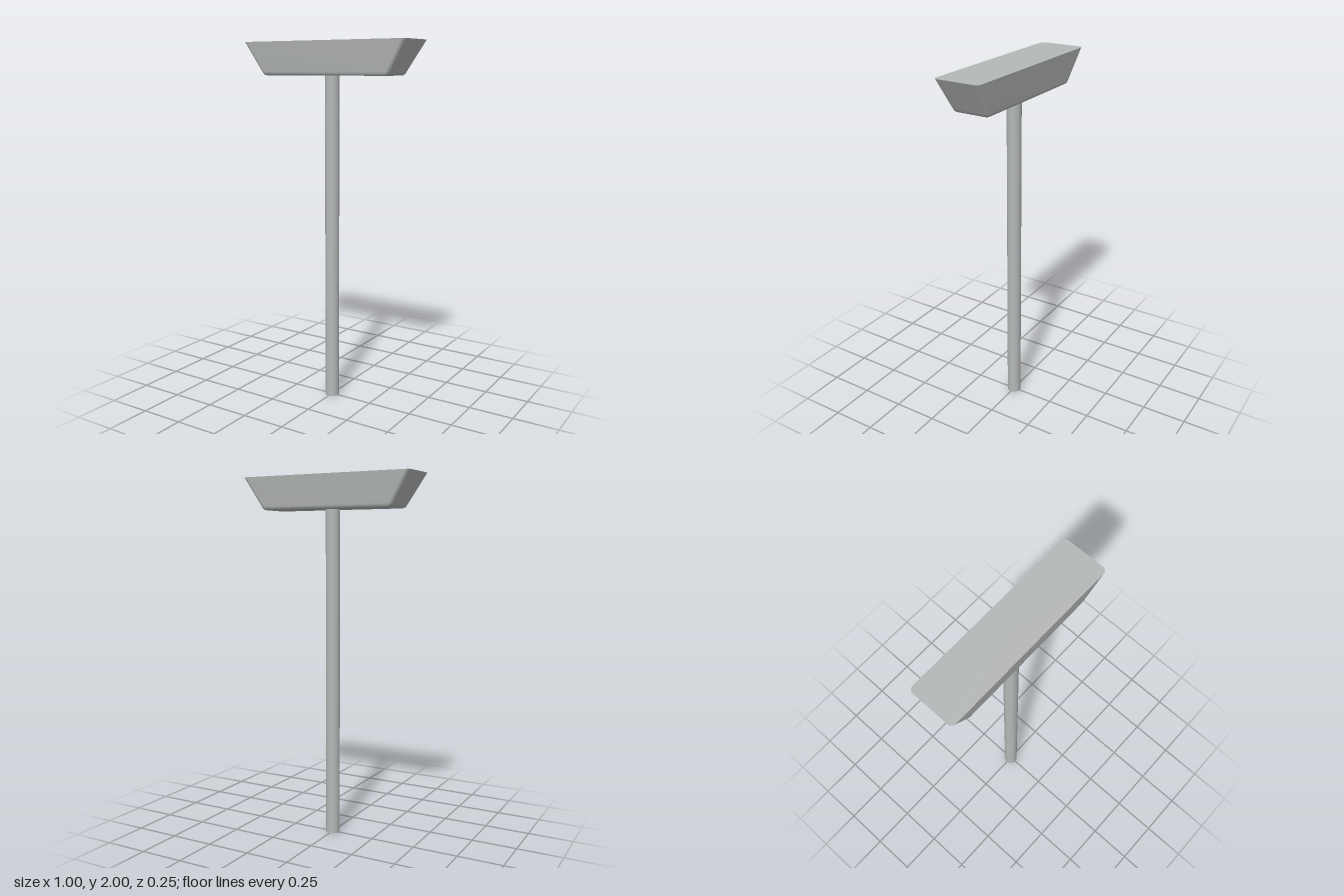
import * as THREE from 'three';

const CORNER_STEPS = 5;

// Rounded rectangle in the xz plane at height y, as a flat list of coordinates
function ring([y, hx, hz, r]) {
  const points = [];
  [[1, 1], [-1, 1], [-1, -1], [1, -1]].forEach(([sx, sz], corner) => {
    for (let i = 0; i <= CORNER_STEPS; i++) {
      const a = (corner + i / CORNER_STEPS) * Math.PI / 2;
      points.push(sx * (hx - r) + Math.cos(a) * r, y, sz * (hz - r) + Math.sin(a) * r);
    }
  });
  return points;
}

// Smooth shell through the rings (top to bottom), with a crisp lid on top
function loftHead(profile) {
  const rings = profile.map(ring);
  const n = rings[0].length / 3;
  const position = rings.flat();
  const index = [];
  for (let k = 0; k < rings.length - 1; k++) {
    for (let i = 0; i < n; i++) {
      const j = (i + 1) % n, a = k * n + i, b = k * n + j;
      index.push(a, b, a + n, b, b + n, a + n);
    }
  }
  const addCap = (start, y, up) => {
    const centre = position.length / 3;
    position.push(0, y, 0);
    for (let i = 0; i < n; i++) {
      const a = start + i, b = start + (i + 1) % n;
      index.push(centre, up ? b : a, up ? a : b);
    }
  };
  addCap((rings.length - 1) * n, profile.at(-1)[0], false);
  const lid = position.length / 3;
  position.push(...rings[0]);
  addCap(lid, profile[0][0], true);

  const geometry = new THREE.BufferGeometry();
  geometry.setAttribute('position', new THREE.Float32BufferAttribute(position, 3));
  geometry.setIndex(index);
  geometry.computeVertexNormals();
  return geometry;
}

export function createModel() {
  const model = new THREE.Group();
  model.name = 'hammerShapedPost';
  const grey = new THREE.MeshStandardMaterial({ color: 0xb4b8b7 });
  grey.name = 'paleGrey';

  // Flared head with softened lower edges: y, half width, half depth, corner radius
  const head = new THREE.Mesh(loftHead([
    [2, 0.5, 0.126, 0.024],
    [1.84, 0.4, 0.104, 0.022],
    [1.829, 0.393, 0.101, 0.02],
    [1.822, 0.384, 0.095, 0.015],
    [1.82, 0.372, 0.086, 0.008],
  ]), grey);
  head.name = 'head';

  // Straight round pole
  const pole = new THREE.Mesh(new THREE.CylinderGeometry(0.039, 0.039, 1.83, 32), grey);
  pole.name = 'pole';
  pole.position.y = 0.915;

  model.add(head, pole);
  return model;
}
